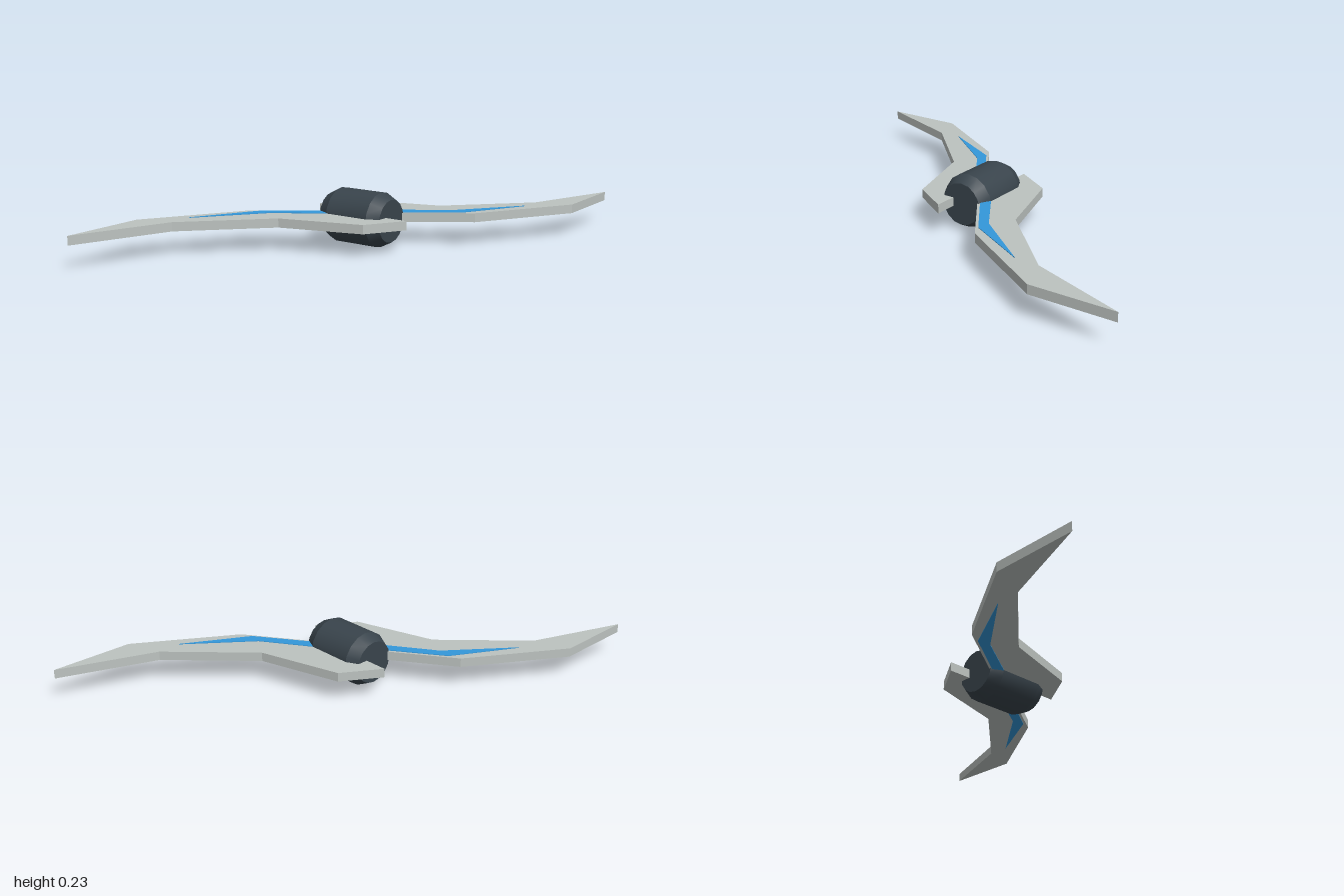
import * as THREE from 'three';
import { toCreasedNormals } from 'three/addons/utils/BufferGeometryUtils.js';

const MID_Y = 0.118;

// Flat plate from an [x, z] outline, centred on the blade plane
function plate(name, outline, thickness, material) {
  const shape = new THREE.Shape(outline.map(([x, z]) => new THREE.Vector2(x, -z)));
  const geometry = new THREE.ExtrudeGeometry(shape, { depth: thickness, bevelEnabled: false });
  geometry.translate(0, 0, -thickness / 2);
  geometry.rotateX(-Math.PI / 2);
  const mesh = new THREE.Mesh(geometry, material);
  mesh.name = name;
  return mesh;
}

export function createModel() {
  const model = new THREE.Group();
  model.name = 'doubleBladedGlaive';

  const bladeMaterial = new THREE.MeshStandardMaterial({ color: 0xbdc3c0 });
  const hubMaterial = new THREE.MeshStandardMaterial({ color: 0x39444c });
  const inlayMaterial = new THREE.MeshStandardMaterial({ color: 0x3498db });

  // Barrel hub with chamfered ends, lying along z
  const profile = [[0, -0.15], [0.09, -0.15], [0.115, -0.1], [0.115, 0.1], [0.09, 0.15], [0, 0.15]]
    .map(([r, y]) => new THREE.Vector2(r, y));
  const hubGeometry = toCreasedNormals(new THREE.LatheGeometry(profile, 16), 0.43);
  hubGeometry.rotateX(Math.PI / 2);
  const hub = new THREE.Mesh(hubGeometry, hubMaterial);
  hub.name = 'hub';
  hub.position.y = MID_Y - 0.002;
  model.add(hub);

  // Swept blade with a rear spur, and the inlay that shows on both faces
  const bladeOutline = [
    [0.04, 0.09], [0.25, 0.4], [0.65, 0.65], [1, 0.65],
    [0.6, 0.5], [0.3, 0.2], [0.2, -0.15], [0.04, -0.25],
  ];
  const inlayOutline = [
    [0.06, 0.1], [0.23, 0.35], [0.5, 0.5], [0.24, 0.295], [0.1, 0.08],
  ];

  // Two blades, half a turn apart
  ['leftBlade', 'rightBlade'].forEach((name, i) => {
    const wing = new THREE.Group();
    wing.name = name;
    wing.add(plate('blade', bladeOutline, 0.038, bladeMaterial));
    wing.add(plate('inlay', inlayOutline, 0.043, inlayMaterial));
    wing.position.y = MID_Y;
    wing.rotation.y = i * Math.PI;
    model.add(wing);
  });

  return model;
}
